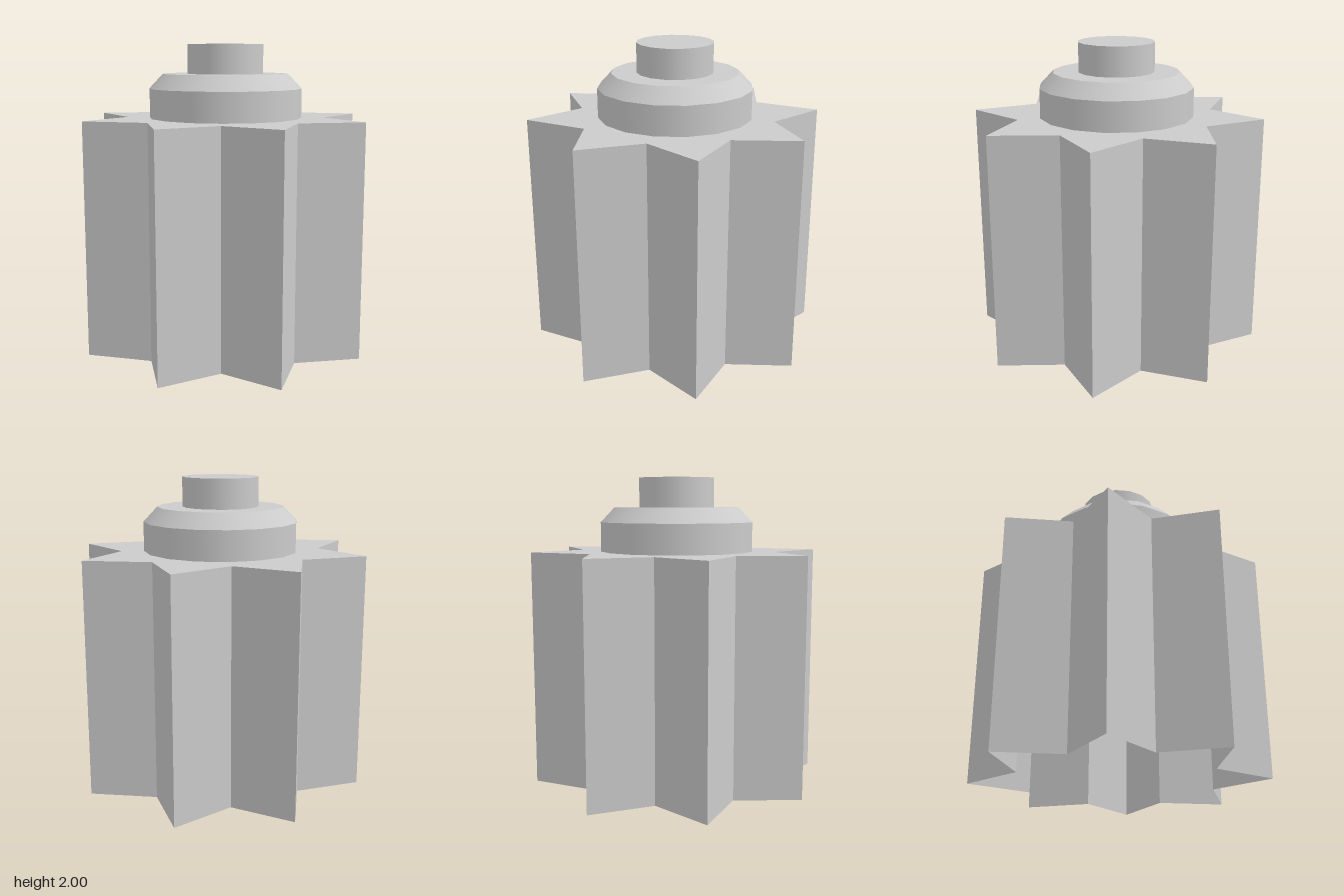
import * as THREE from 'three';

const BODY_TOP = 1.525, TIP = 0.95, NOTCH = 0.645, SIDES = 16;

// Pull every second corner of a 16-sided round shape inwards to make an 8-pointed star
function makeStar(geometry) {
  const p = geometry.attributes.position;
  for (let i = 0; i < p.count; i++) {
    const x = p.getX(i), z = p.getZ(i);
    if (Math.hypot(x, z) < 0.01) continue; // centre of the cap
    const step = Math.round(Math.atan2(z, x) / (Math.PI / 8));
    if (step % 2 !== 0) {
      p.setX(i, x * NOTCH / TIP);
      p.setZ(i, z * NOTCH / TIP);
    }
  }
  geometry.computeVertexNormals();
  return geometry;
}

export function createModel() {
  const model = new THREE.Group();
  model.name = 'starColumn';

  const flat = new THREE.MeshStandardMaterial({ color: 0xcccccc, flatShading: true, side: THREE.DoubleSide });
  const smooth = new THREE.MeshStandardMaterial({ color: 0xcccccc, side: THREE.DoubleSide });

  const add = (name, geometry, material) => {
    const mesh = new THREE.Mesh(geometry, material);
    mesh.name = name;
    model.add(mesh);
  };

  // Star-shaped body, a thin shell open at the bottom
  const walls = new THREE.CylinderGeometry(TIP, TIP, BODY_TOP, SIDES, 1, true);
  add('bodyWalls', makeStar(walls.translate(0, BODY_TOP / 2, 0)), flat);
  const cap = new THREE.CircleGeometry(TIP, SIDES).rotateX(-Math.PI / 2);
  add('bodyTop', makeStar(cap.translate(0, BODY_TOP, 0)), flat);

  // Stacked round parts: name, bottom radius, top radius, bottom, top
  const rings = [
    ['collar', 0.5, 0.5, BODY_TOP, 1.715, true],
    ['collarChamfer', 0.5, 0.41, 1.715, 1.81, true],
    ['neck', 0.247, 0.247, 1.81, 2, false],
  ];
  for (const [name, r0, r1, y0, y1, open] of rings) {
    const ring = new THREE.CylinderGeometry(r1, r0, y1 - y0, SIDES, 1, open);
    add(name, ring.translate(0, (y0 + y1) / 2, 0), smooth);
  }
  const shoulder = new THREE.CircleGeometry(0.41, SIDES).rotateX(-Math.PI / 2);
  add('collarTop', shoulder.translate(0, 1.81, 0), smooth);

  return model;
}
